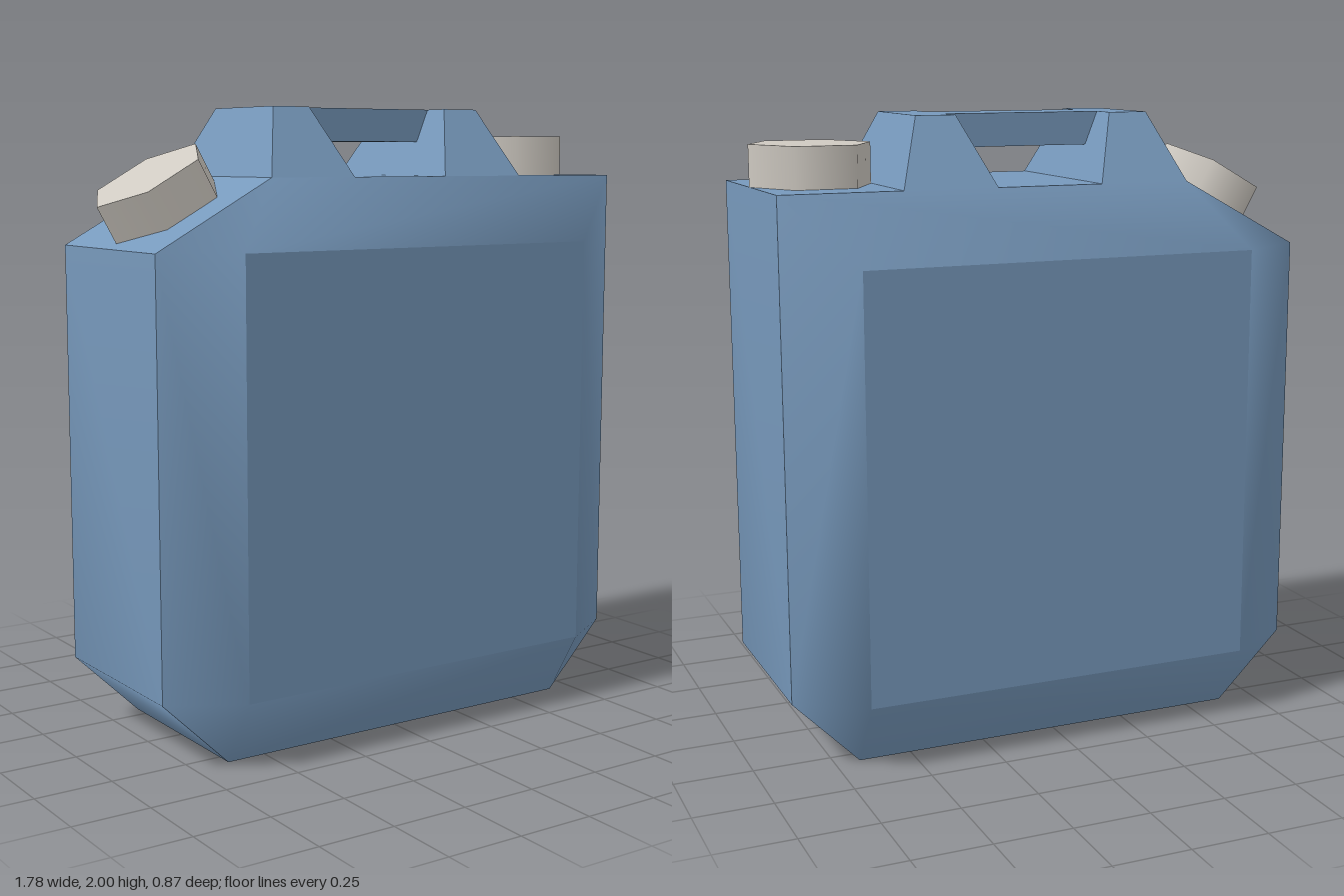
import * as THREE from 'three';

const blue = new THREE.MeshStandardMaterial({ color: 0x7799bc });
blue.name = 'canBlue';
const grey = new THREE.MeshStandardMaterial({ color: 0xcfcac2 });
grey.name = 'capGrey';

const RIM = 0.305;   // half depth of the rim
const FACE = 0.435;  // half depth of the flat panels
const TOP = 1.785;   // height of the shoulders

// outline of the rim, counter-clockwise from the front
const rim = [
  [-0.63, 0], [0.67, 0], [0.885, 0.22], [0.885, TOP],
  [-0.46, TOP], [-0.855, 1.57], [-0.855, 0.22],
];
// outline of the flat panel
const panel = [[-0.63, 0.22], [0.67, 0.22], [0.67, 1.57], [-0.63, 1.57]];

// smooth patch from shared points and convex faces
function patch(name, points, faces, flip = false) {
  const index = [];
  for (const f of faces) {
    for (let i = 1; i < f.length - 1; i++) {
      index.push(...(flip ? [f[0], f[i + 1], f[i]] : [f[0], f[i], f[i + 1]]));
    }
  }
  const geo = new THREE.BufferGeometry();
  geo.setAttribute('position', new THREE.Float32BufferAttribute(points.flat(), 3));
  geo.setIndex(index);
  geo.computeVertexNormals();
  const mesh = new THREE.Mesh(geo, blue);
  mesh.name = name;
  return mesh;
}

// band running from front rim to back rim along some rim points
function rimBand(name, ids) {
  const points = [];
  const faces = [];
  ids.forEach((id, i) => {
    const [x, y] = rim[id];
    points.push([x, y, -RIM], [x, y, RIM]);
    if (i) faces.push([2 * i - 2, 2 * i, 2 * i + 1, 2 * i - 1]);
  });
  return patch(name, points, faces);
}

// block whose x and z extents change from bottom to top
function taperedLeg(name, bottom, top) {
  const geo = new THREE.BoxGeometry(1, 1, 1);
  const p = geo.attributes.position;
  for (let i = 0; i < p.count; i++) {
    const up = p.getY(i) > 0;
    const xs = up ? top : bottom;
    const z = up ? 0.177 : RIM;
    p.setXYZ(i, xs[p.getX(i) > 0 ? 1 : 0], up ? 2 : TOP, Math.sign(p.getZ(i)) * z);
  }
  geo.computeVertexNormals();
  const mesh = new THREE.Mesh(geo, blue);
  mesh.name = name;
  return mesh;
}

// six-sided cap standing on its own origin
function cap(name, x, y, tilt) {
  const geo = new THREE.CylinderGeometry(0.195, 0.195, 0.13, 6);
  geo.rotateY(Math.PI / 6);
  geo.translate(0, 0.065, 0);
  const mesh = new THREE.Mesh(geo, grey);
  mesh.name = name;
  mesh.position.set(x, y, 0);
  mesh.rotation.z = tilt;
  return mesh;
}

export function createModel() {
  const model = new THREE.Group();
  model.name = 'fuelCan';

  // body: rim bands
  const body = new THREE.Group();
  body.name = 'body';
  body.add(
    rimBand('bottom', [0, 1]),
    rimBand('leftSide', [1, 2, 3]),
    rimBand('top', [3, 4]),
    rimBand('spoutSlope', [4, 5]),
    rimBand('rightSide', [5, 6, 0]),
  );

  // body: bevels and flat panels, front and back
  const bevelFaces = [
    [0, 1, 8, 7], [1, 2, 8], [2, 3, 9, 8], [3, 4, 10, 9],
    [4, 5, 10], [5, 6, 7, 10], [6, 0, 7],
  ];
  for (const [side, s] of [['front', 1], ['back', -1]]) {
    const inner = panel.map(([x, y]) => [x, y, s * FACE]);
    const outer = rim.map(([x, y]) => [x, y, s * RIM]);
    body.add(
      patch(side + 'Bevel', [...outer, ...inner], bevelFaces, s < 0),
      patch(side + 'Panel', inner, [[0, 1, 2, 3]], s < 0),
    );
  }
  model.add(body);

  // handle: two tapered legs and a grip bar
  const handle = new THREE.Group();
  handle.name = 'handle';
  const bar = new THREE.Mesh(new THREE.BoxGeometry(0.57, 0.105, 0.175), blue);
  bar.name = 'grip';
  bar.position.set(0.0175, 1.9475, 0);
  handle.add(
    taperedLeg('rightLeg', [-0.46, -0.16], [-0.375, -0.245]),
    taperedLeg('leftLeg', [0.19, 0.495], [0.28, 0.41]),
    bar,
  );
  model.add(handle);

  // caps
  model.add(
    cap('leftCap', 0.692, TOP, 0),
    cap('spoutCap', -0.655, 1.678, 0.51),
  );
  return model;
}
